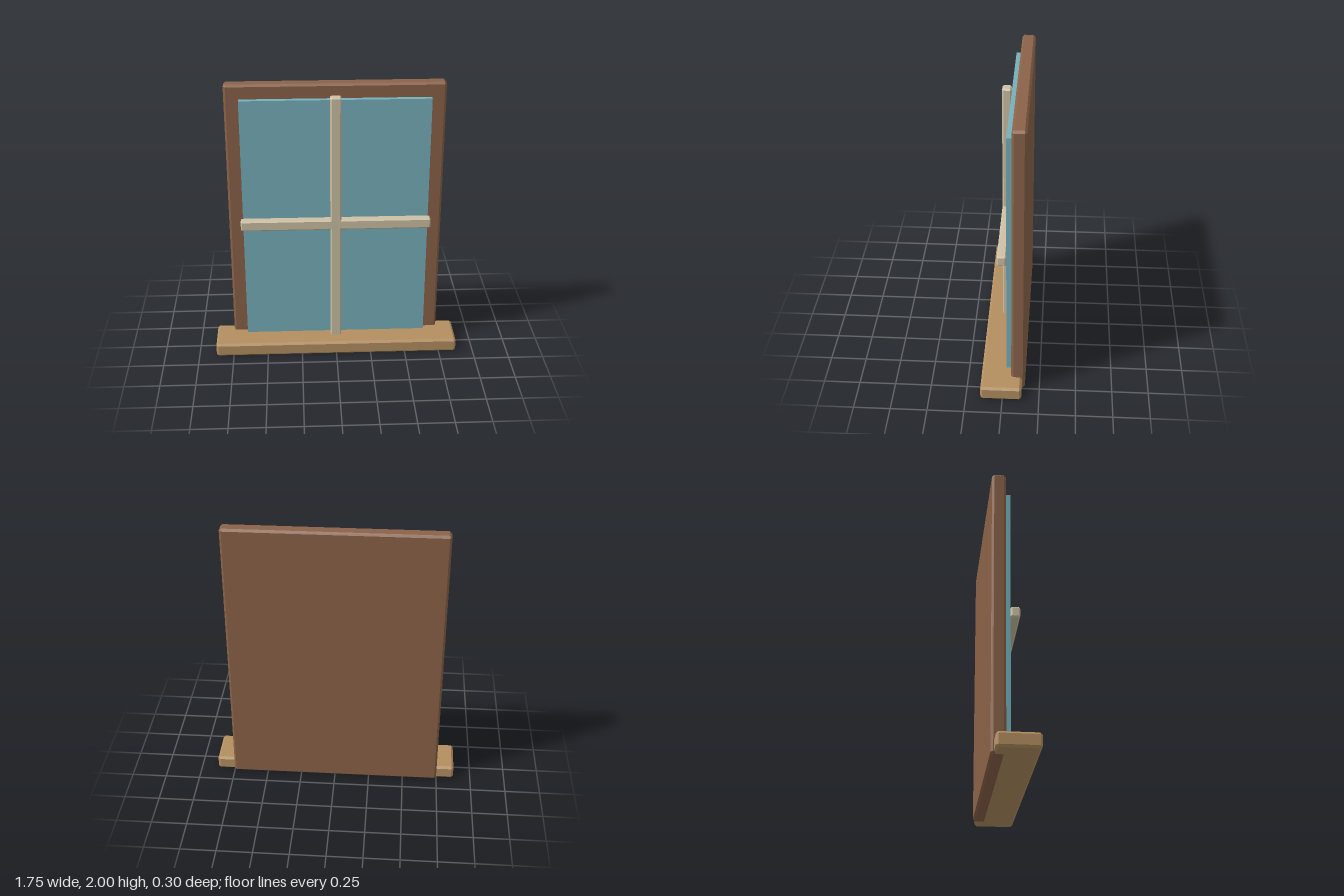
import * as THREE from 'three';
import { ConvexGeometry } from 'three/addons/geometries/ConvexGeometry.js';

function material(name, color) {
  const m = new THREE.MeshStandardMaterial({ color });
  m.name = name;
  return m;
}

// Box between two corners, with every edge chamfered by c
function chamferBox(min, max, c) {
  const half = max.map((v, i) => (v - min[i]) / 2);
  const points = [];
  for (const sx of [-1, 1]) for (const sy of [-1, 1]) for (const sz of [-1, 1]) {
    const s = [sx, sy, sz];
    // each corner becomes three points, one on each adjoining face
    for (let face = 0; face < 3; face++) {
      points.push(new THREE.Vector3(...s.map((v, i) => v * (half[i] - (i === face ? 0 : c)))));
    }
  }
  const geometry = new ConvexGeometry(points);
  geometry.translate(...min.map((v, i) => v + half[i]));
  return geometry;
}

export function createModel() {
  const group = new THREE.Group();
  group.name = 'window';

  const frameWood = material('frame brown', 0x8a6248);
  const sillWood = material('sill tan', 0xb48f60);
  const barPaint = material('bar cream', 0xcdc0a4);
  const glass = material('glass blue', 0x76b0bb);

  const add = (name, geometry, mat) => {
    const mesh = new THREE.Mesh(geometry, mat);
    mesh.name = name;
    group.add(mesh);
  };

  // Solid backing frame
  add('frame', chamferBox([-0.75, 0, -0.15], [0.75, 2, -0.055], 0.015), frameWood);

  // Glass slab standing proud of the frame
  const pane = new THREE.BoxGeometry(1.3, 1.8, 0.055);
  pane.translate(0, 1, -0.0445);
  add('glassPane', pane, glass);

  // Crossing glazing bars
  add('verticalBar', chamferBox([-0.038, 0.065, -0.018], [0.038, 1.935, 0.045], 0.01), barPaint);
  add('horizontalBar', chamferBox([-0.665, 0.962, -0.018], [0.665, 1.038, 0.045], 0.01), barPaint);

  // Sill
  add('sill', chamferBox([-0.875, 0, -0.13], [0.875, 0.1, 0.15], 0.015), sillWood);

  return group;
}
